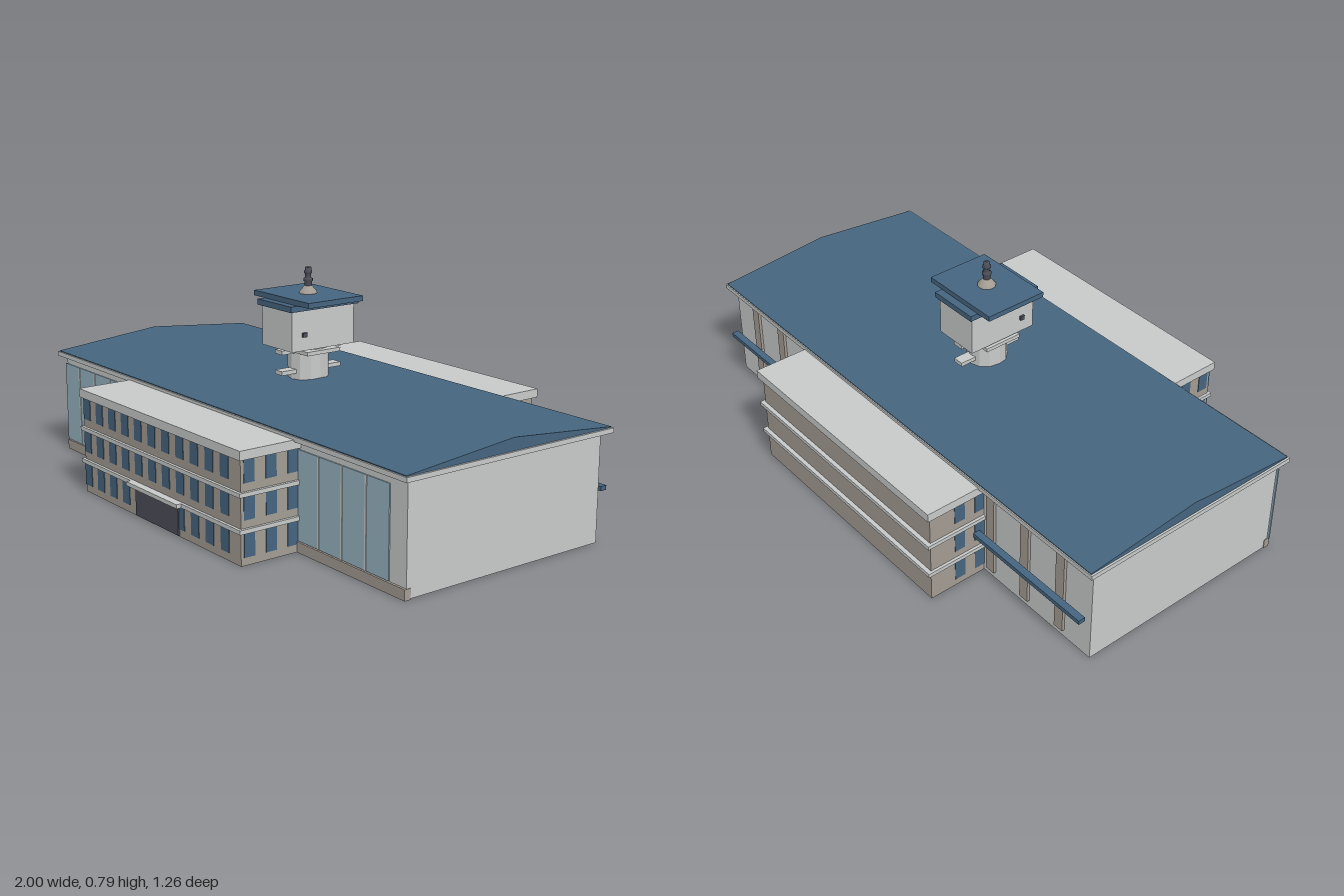
import * as THREE from 'three';

const mat = (name, color) => Object.assign(new THREE.MeshStandardMaterial({ color }), { name });

export function createModel() {
  const plaster = mat('light grey plaster', 0xc8caca);
  const stone = mat('beige stone', 0xa39c93);
  const blue = mat('slate blue', 0x45657f);
  const glass = mat('pale glass', 0x97b3c2);
  const dark = mat('dark metal', 0x4b4d58);

  const root = new THREE.Group();
  root.name = 'stationBuilding';

  const add = (name, geometry, material, parent = root) => {
    const mesh = new THREE.Mesh(geometry, material);
    mesh.name = name;
    parent.add(mesh);
    return mesh;
  };
  // Box given by its extents on each axis
  const box = (name, material, [x0, x1], [y0, y1], [z0, z1], parent = root) => {
    const mesh = add(name, new THREE.BoxGeometry(x1 - x0, y1 - y0, z1 - z0), material, parent);
    mesh.position.set((x0 + x1) / 2, (y0 + y1) / 2, (z0 + z1) / 2);
    return mesh;
  };
  const group = (name) => {
    const g = new THREE.Group();
    g.name = name;
    root.add(g);
    return g;
  };

  // Long hall with plinth and eaves
  const hall = group('hall');
  box('hallWalls', plaster, [-0.975, 0.975], [0.002, 0.362], [-0.405, 0.385], hall);
  box('frontPlinth', stone, [-0.977, 0.977], [0, 0.035], [0.37, 0.393], hall);
  box('eaves', plaster, [-1, 1], [0.362, 0.378], [-0.437, 0.412], hall);

  // Low gabled roof
  const gable = new THREE.Shape([
    new THREE.Vector2(-0.407, 0.378), new THREE.Vector2(0.433, 0.378),
    new THREE.Vector2(0.433, 0.381), new THREE.Vector2(0.012, 0.42),
    new THREE.Vector2(-0.407, 0.381),
  ]);
  const roofGeometry = new THREE.ExtrudeGeometry(gable, { depth: 1.986, bevelEnabled: false });
  roofGeometry.translate(0, 0, -0.993).rotateY(Math.PI / 2);
  add('hallRoof', roofGeometry, blue, hall);

  // Glazed front bays with mullions
  const glazing = group('glazing');
  for (const [start, end, first, count] of [[-0.982, -0.47, -0.88, 4], [0.47, 0.9, 0.571, 3]]) {
    box('frontGlass', glass, [start, end], [0.037, 0.332], [0.384, 0.389], glazing);
    for (let i = 0; i < count; i++) {
      const x = first + i * 0.112;
      box('mullion', plaster, [x - 0.004, x + 0.004], [0.037, 0.332], [0.385, 0.391], glazing);
    }
  }

  // Piers and a long rail on the rear wall
  for (const side of [-1, 1]) {
    for (const x of [0.51, 0.675, 0.84]) {
      box('rearPier', stone, [side * x - 0.019, side * x + 0.019], [0.03, 0.362], [-0.415, -0.404]);
    }
    const ends = [side * 0.47, side * 0.968].sort((a, b) => a - b);
    box('rearRail', blue, ends, [0.166, 0.181], [-0.45, -0.425]);
  }

  // Three storey block running through the hall
  const block = group('centralBlock');
  box('blockWalls', stone, [-0.468, 0.468], [0, 0.34], [-0.619, 0.603], block);
  for (const [z0, z1] of [[0.386, 0.613], [-0.634, -0.406]]) {
    box('blockRoof', plaster, [-0.48, 0.48], [0.338, 0.368], [z0, z1], block);
    for (const y of [0.105, 0.221]) {
      box('floorBand', plaster, [-0.478, 0.478], [y, y + 0.014], [z0, z1], block);
    }
  }

  // Windows on the front and on both flanks
  const windows = group('windows');
  for (const y of [0.026, 0.145, 0.262]) {
    for (let i = 0; i < 11; i++) {
      const x = -0.446 + i * 0.083;
      box('frontWindow', blue, [x - 0.022, x + 0.022], [y, y + 0.076], [0.6, 0.605], windows);
    }
    for (const z of [0.572, 0.49, 0.408, -0.423, -0.503]) {
      for (const x of [-0.468, 0.468]) {
        box('sideWindow', blue, [x - 0.002, x + 0.002], [y, y + 0.076], [z - 0.02, z + 0.02], windows);
      }
    }
  }

  // Entrance
  box('entranceDoors', dark, [-0.13, 0.127], [0.004, 0.102], [0.6, 0.609]);
  box('entranceCanopy', plaster, [-0.153, 0.153], [0.105, 0.119], [0.6, 0.63]);

  // Central tower
  const tower = group('tower');
  tower.position.z = -0.01;
  const shaft = new THREE.CylinderGeometry(0.07, 0.07, 0.15, 12).toNonIndexed();
  shaft.computeVertexNormals();
  add('towerShaft', shaft, plaster, tower).position.y = 0.46;
  box('lowerBeam', plaster, [-0.02, 0.02], [0.435, 0.449], [-0.125, 0.125], tower);
  box('upperBeam', plaster, [-0.02, 0.02], [0.506, 0.52], [-0.125, 0.125], tower);
  box('towerCollar', plaster, [-0.088, 0.088], [0.507, 0.52], [-0.07, 0.07], tower);
  box('towerRoom', plaster, [-0.084, 0.084], [0.527, 0.664], [-0.131, 0.131], tower);
  box('lowerTowerRoof', blue, [-0.094, 0.094], [0.664, 0.684], [-0.143, 0.143], tower);
  box('upperTowerRoof', blue, [-0.153, 0.153], [0.684, 0.702], [-0.115, 0.115], tower);
  for (const x of [-0.086, 0.086]) {
    box('towerLamp', dark, [x - 0.006, x + 0.006], [0.574, 0.589], [0.073, 0.089], tower);
  }

  // Finial: conical foot and stepped mast
  const lathe = (points) => new THREE.LatheGeometry(points.map(([r, y]) => new THREE.Vector2(r, y)), 12);
  add('finialFoot', lathe([[0.031, 0.702], [0.031, 0.706], [0.013, 0.728], [0, 0.728]]), stone, tower);
  add('finialMast', lathe([
    [0.013, 0.726], [0.013, 0.742], [0.016, 0.744], [0.016, 0.752], [0.01, 0.754],
    [0.01, 0.768], [0.014, 0.77], [0.014, 0.778], [0.011, 0.78], [0.011, 0.79], [0, 0.79],
  ]), dark, tower);

  return root;
}
